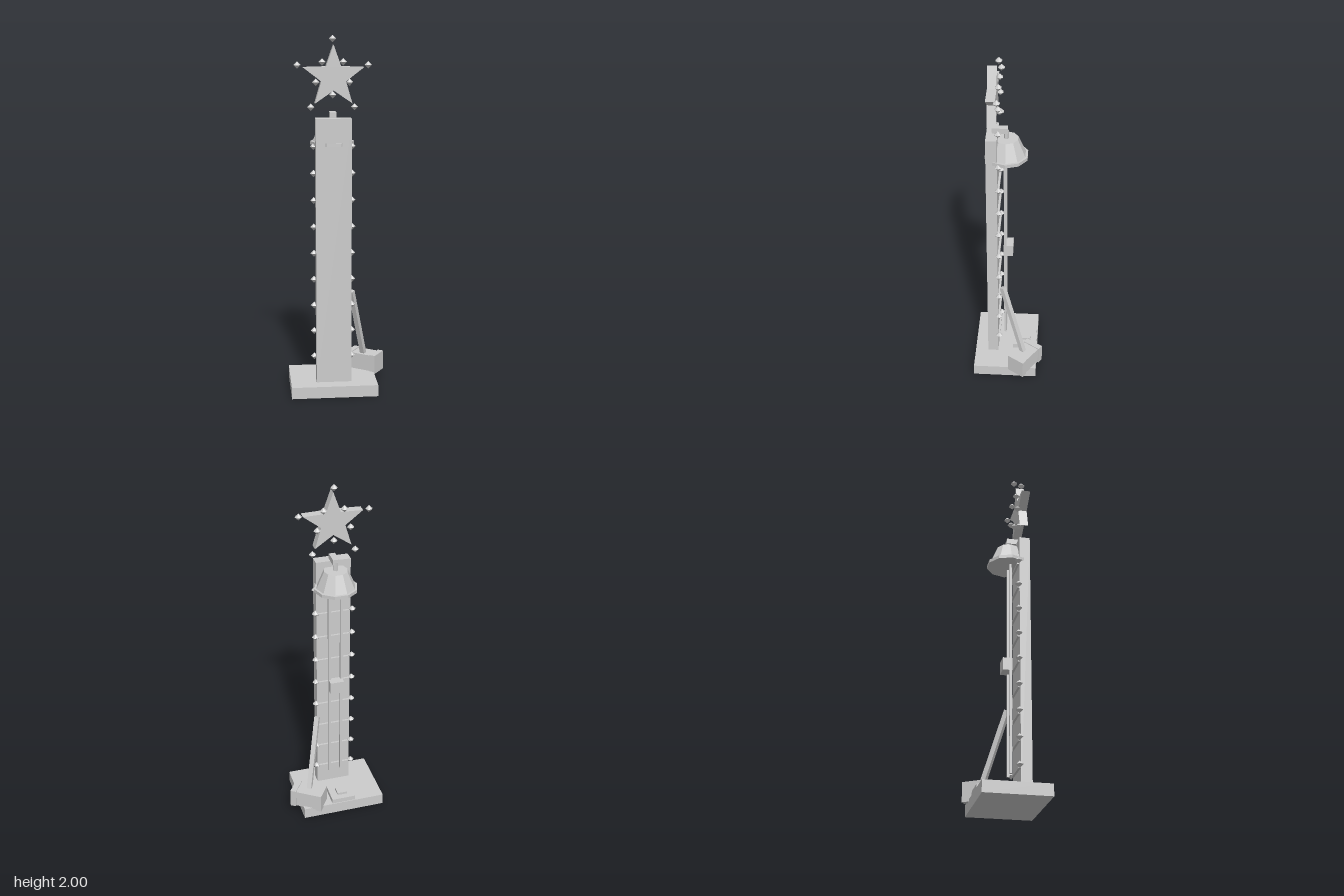
import * as THREE from 'three';

export function createModel() {
  const model = new THREE.Group();
  const grey = new THREE.MeshStandardMaterial({ color: 0xcccccc });
  grey.name = 'light grey';
  grey.flatShading = true;
  const CX = -0.034; // centre line of the tower

  const add = (name, geometry, x, y, z, parent = model) => {
    const mesh = new THREE.Mesh(geometry, grey);
    mesh.name = name;
    mesh.position.set(x, y, z);
    parent.add(mesh);
    return mesh;
  };
  // box given by its width, vertical range and depth range
  const slab = (name, x, w, y0, y1, z0, z1) =>
    add(name, new THREE.BoxGeometry(w, y1 - y0, z1 - z0), x, (y0 + y1) / 2, (z0 + z1) / 2);

  // base and tower
  slab('base', CX, 0.485, 0, 0.066, -0.168, 0.2);
  slab('tower', CX, 0.196, 0.066, 1.557, 0.064, 0.125);

  // strike pad and its button
  slab('strikePad', CX, 0.14, 0.066, 0.094, -0.163, -0.023);
  slab('strikeButton', CX, 0.057, 0.094, 0.108, -0.129, -0.07);

  // ladder of rungs and rails at the back, with the sliding puck
  for (let i = 0; i < 9; i++) {
    const y = 0.19 + i * 0.15;
    slab('rung', CX, 0.18, y - 0.006, y + 0.006, 0.052, 0.066);
  }
  for (const s of [-1, 1]) slab('rail', CX + s * 0.035, 0.014, 0.17, 1.41, 0.017, 0.031);
  slab('puck', CX, 0.08, 0.752, 0.824, -0.02, 0.033);

  // bell with its rim, hanger and bracket
  const bell = (name, top, bottom, y0, y1, sides) =>
    add(name, new THREE.CylinderGeometry(top, bottom, y1 - y0, sides), CX, (y0 + y1) / 2, 0.018);
  bell('bellRim', 0.121, 0.121, 1.406, 1.425, 10).rotation.y = Math.PI / 10;
  bell('bellBody', 0.066, 0.108, 1.425, 1.522, 10).rotation.y = Math.PI / 10;
  bell('bellHanger', 0.013, 0.013, 1.52, 1.57, 6);
  slab('bellBracket', CX, 0.035, 1.555, 1.587, 0.01, 0.095);

  // star on top
  const starY = 1.777;
  const starPoint = (i, outer, inner) => {
    const a = Math.PI / 2 + (i * Math.PI) / 5;
    const r = i % 2 ? inner : outer;
    return new THREE.Vector2(Math.cos(a) * r, Math.sin(a) * r);
  };
  const corners = Array.from({ length: 10 }, (_, i) => starPoint(i, 0.1725, 0.07));
  add('star', new THREE.ExtrudeGeometry(new THREE.Shape(corners), { depth: 0.05, bevelEnabled: false }),
    CX, starY, 0.066);

  // bulbs around the star and up both tower edges
  const bulb = new THREE.SphereGeometry(0.02, 6, 2);
  for (let i = 0; i < 10; i++) {
    const p = starPoint(i, 0.202, 0.097);
    add('starBulb', bulb, CX + p.x, starY + p.y, 0.056);
  }
  for (const s of [-1, 1]) {
    for (let i = 0; i < 9; i++) add('towerBulb', bulb, CX + s * 0.106, 0.2 + i * 0.15, 0.056);
  }

  // mallet leaning on the tower
  const mallet = new THREE.Group();
  mallet.name = 'mallet';
  mallet.position.set(0.166, 0.11, -0.103);
  mallet.rotation.y = -0.598;
  model.add(mallet);
  add('malletHead', new THREE.BoxGeometry(0.18, 0.1, 0.1), 0, 0, 0, mallet);
  for (const s of [-1, 1]) {
    add('malletCap', new THREE.BoxGeometry(0.034, 0.11, 0.11), s * 0.078, 0, 0, mallet);
  }
  const handle = add('malletHandle', new THREE.BoxGeometry(0.027, 0.49, 0.027), 0, 0.23, 0.083, mallet);
  handle.rotation.x = 0.346;

  return model;
}
